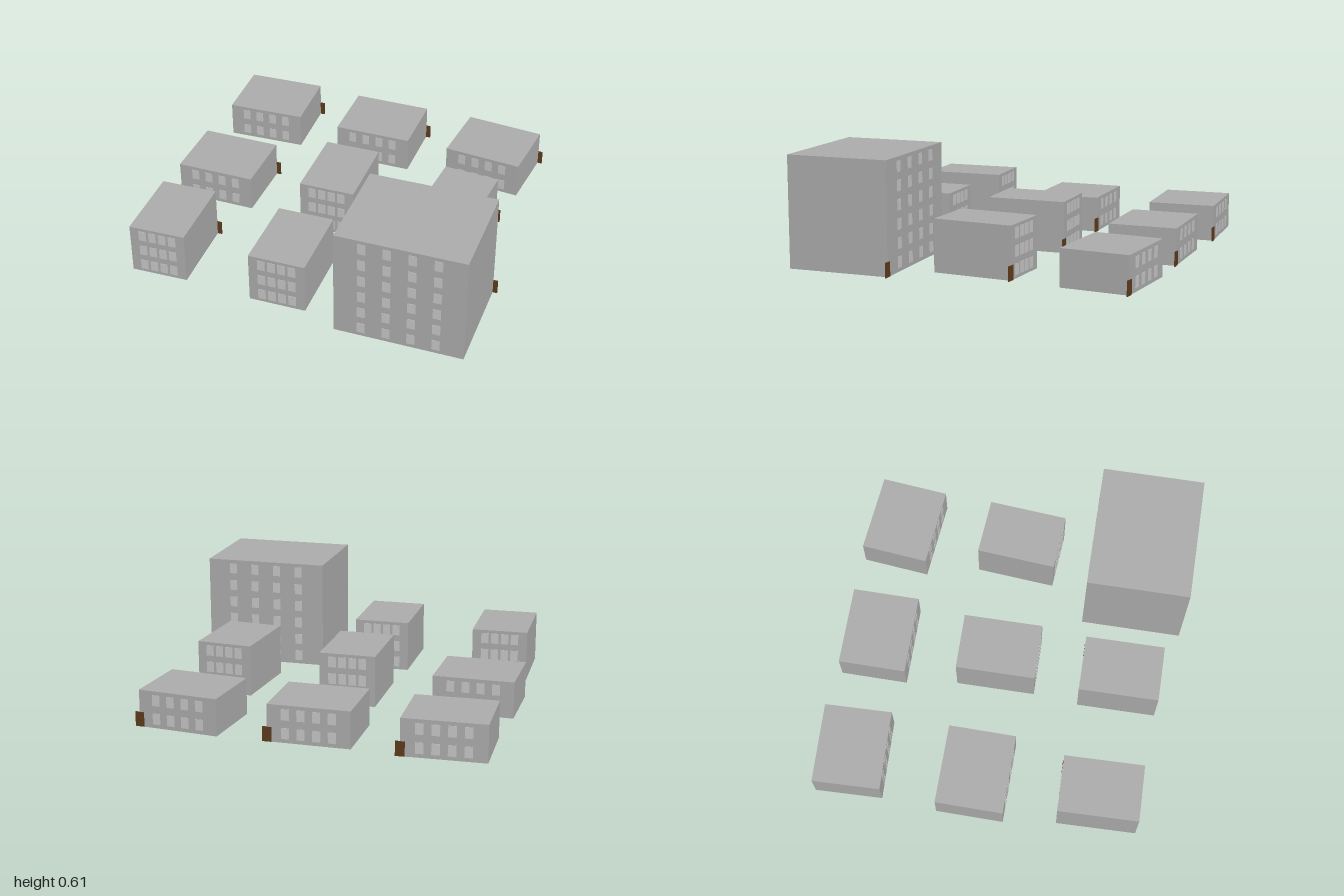
import * as THREE from 'three';

const wallMat = new THREE.MeshStandardMaterial({ name: 'concrete grey', color: 0xaaaaaa });
const windowMat = new THREE.MeshStandardMaterial({ name: 'pale window grey', color: 0xc4c4c4 });
const doorMat = new THREE.MeshStandardMaterial({ name: 'door brown', color: 0x5c3a1c });

// footprint and storeys of the three block types
const low = { w: 0.445, h: 0.203, d: 0.378, floors: 2 };
const mid = { w: 0.315, h: 0.287, d: 0.445, floors: 3 };
const tower = { w: 0.7, h: 0.61, d: 0.57, floors: 6 };

// type, x, z, turn about the vertical
const plots = [
  [low, -0.766, -0.746, 0.06], [low, -0.066, -0.746, 0.025], [low, 0.634, -0.746, -0.07],
  [low, -0.766, -0.047, 0.018], [mid, -0.066, -0.047, 0.035], [mid, 0.634, -0.047, -0.05],
  [mid, -0.766, 0.652, 0.055], [mid, -0.066, 0.652, 0.038], [tower, 0.634, 0.652, 0.033],
];

function addBox(group, name, material, w, h, d, x, y, z) {
  const mesh = new THREE.Mesh(new THREE.BoxGeometry(w, h, d), material);
  mesh.name = name;
  mesh.position.set(x, y, z);
  group.add(mesh);
}

function makeBuilding({ w, h, d, floors }) {
  const building = new THREE.Group();
  addBox(building, 'walls', wallMat, w, h, d, 0, h / 2, 0);

  // four windows per storey on the front and the back
  const pitch = (w - 0.03) / 5;
  for (const side of [1, -1]) {
    for (let floor = 0; floor < floors; floor++) {
      for (let col = 0; col < 4; col++) {
        addBox(building, side > 0 ? 'frontWindow' : 'backWindow', windowMat, 0.043, 0.06, 0.004,
          (col - 1.5) * pitch, (floor + 0.5) * h / floors, side * d / 2);
      }
    }
  }

  // door straddling the back corner
  addBox(building, 'door', doorMat, 0.05, 0.08, 0.006, w / 2, 0.04, -d / 2);
  return building;
}

export function createModel() {
  const model = new THREE.Group();
  model.name = 'cityBlock';
  plots.forEach(([type, x, z, turn], i) => {
    const building = makeBuilding(type);
    building.name = `building${i + 1}`;
    building.position.set(x, 0, z);
    building.rotation.y = turn;
    model.add(building);
  });
  return model;
}
